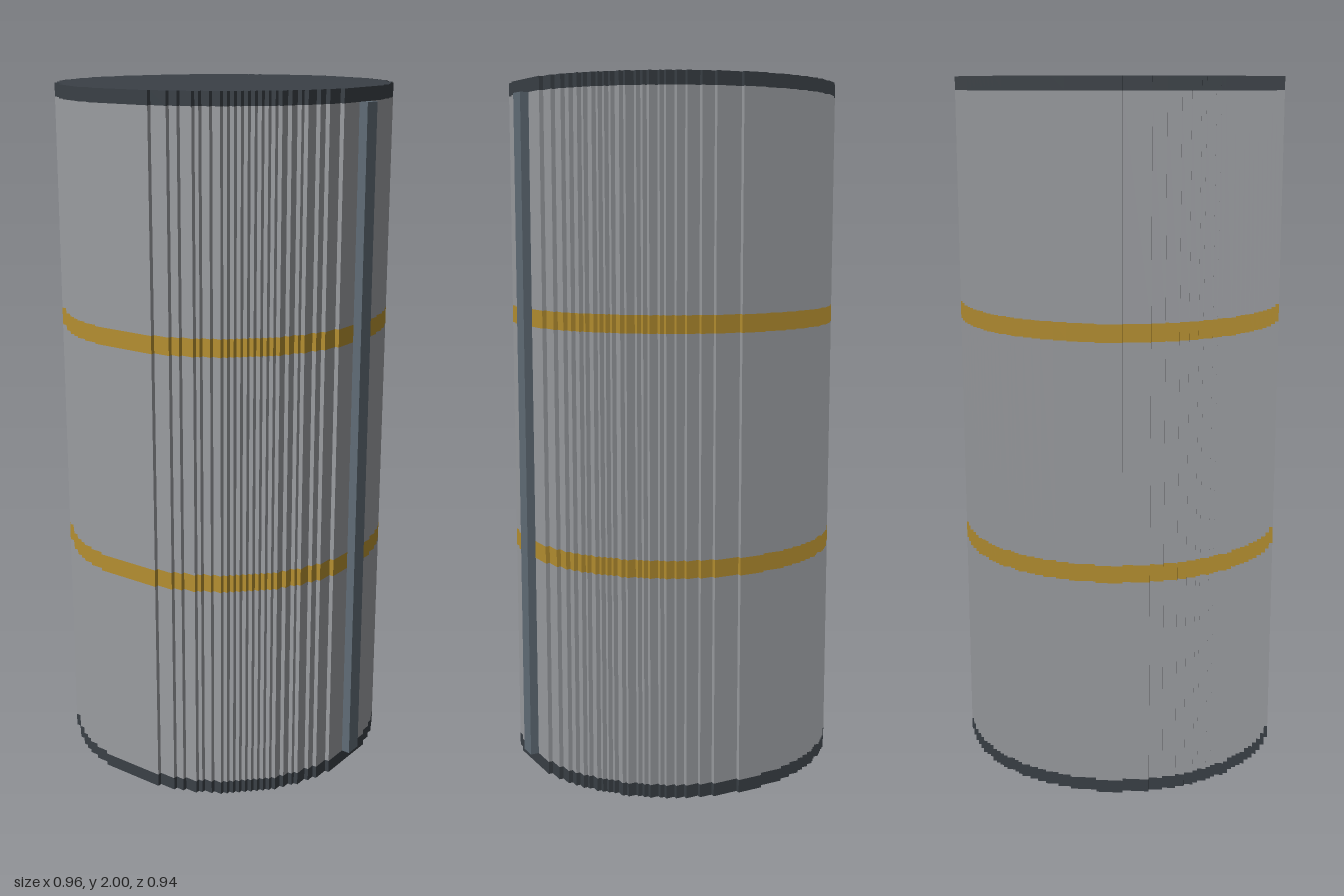
import * as THREE from 'three';

const CELL = 1 / 80;      // edge of one block
const ROWS = 75;          // blocks across the drum
const CENTRE = 37.9;      // circle centre, in blocks
const RADIUS = 37.5;      // circle radius, in blocks

// Stepped outline of a disc of square blocks; zSign picks whether shape y is +z or -z
function discShape(zSign) {
  const point = (i, j) => new THREE.Vector2((i - 38.5) * CELL, zSign * (j - 37.5) * CELL);
  const right = [], left = [];
  const spans = [];
  for (let j = 0; j < ROWS; j++) {
    const dz = j + 0.5 - CENTRE;
    const half = Math.sqrt(RADIUS * RADIUS - dz * dz);
    spans.push([Math.ceil(CENTRE - half - 0.5), Math.floor(CENTRE + half - 0.5) + 1]);
  }
  // Add corners only where the edge steps, so straight runs stay one face
  const trace = (side, list) => {
    spans.forEach((span, j) => {
      if (j === 0 || spans[j - 1][side] !== span[side]) list.push(point(span[side], j));
      if (j === ROWS - 1 || spans[j + 1][side] !== span[side]) list.push(point(span[side], j + 1));
    });
  };
  trace(1, right);
  trace(0, left);
  return new THREE.Shape([...right, ...left.reverse()]);
}

// Stepped side wall between two heights given in blocks, without end faces
function wallGeometry(shape, from, to) {
  const solid = new THREE.ExtrudeGeometry(shape, { depth: (to - from) * CELL, bevelEnabled: false });
  const { start, count } = solid.groups[1];
  const wall = new THREE.BufferGeometry();
  const corners = solid.attributes.position.array.slice(start * 3, (start + count) * 3);
  wall.setAttribute('position', new THREE.BufferAttribute(corners, 3));
  wall.rotateX(-Math.PI / 2).translate(0, from * CELL, 0);
  wall.computeVertexNormals();
  return wall;
}

export function createModel() {
  const model = new THREE.Group();
  model.name = 'drum';

  const material = (name, color) => {
    const m = new THREE.MeshStandardMaterial({ color });
    m.name = name;
    return m;
  };
  const shell = material('shell grey', 0x9a9ca0);
  const dark = material('dark cap', 0x3a4046);
  const gold = material('gold band', 0xb48e30);
  const steel = material('blue grey rail', 0x606c76);

  const add = (name, geometry, mat) => {
    const mesh = new THREE.Mesh(geometry, mat);
    mesh.name = name;
    model.add(mesh);
  };

  // Side wall from bottom to top, in blocks
  const shape = discShape(-1);
  [
    ['bottomRim', 0, 3, dark],
    ['lowerShell', 3, 51, shell],
    ['lowerBand', 51, 55, gold],
    ['middleShell', 55, 105, shell],
    ['upperBand', 105, 109, gold],
    ['upperShell', 109, 157, shell],
    ['topRim', 157, 160, dark],
  ].forEach(([name, from, to, mat]) => add(name, wallGeometry(shape, from, to), mat));

  // Flat end lids
  add('topLid', new THREE.ShapeGeometry(shape).rotateX(-Math.PI / 2).translate(0, 2, 0), dark);
  add('bottomLid', new THREE.ShapeGeometry(discShape(1)).rotateX(Math.PI / 2), dark);

  // Upright seam rail on the left side
  const rail = new THREE.BoxGeometry(2 * CELL, 154 * CELL, 4 * CELL);
  rail.translate(37.5 * CELL, 80 * CELL, 0.5 * CELL);
  add('seamRail', rail, steel);

  return model;
}
